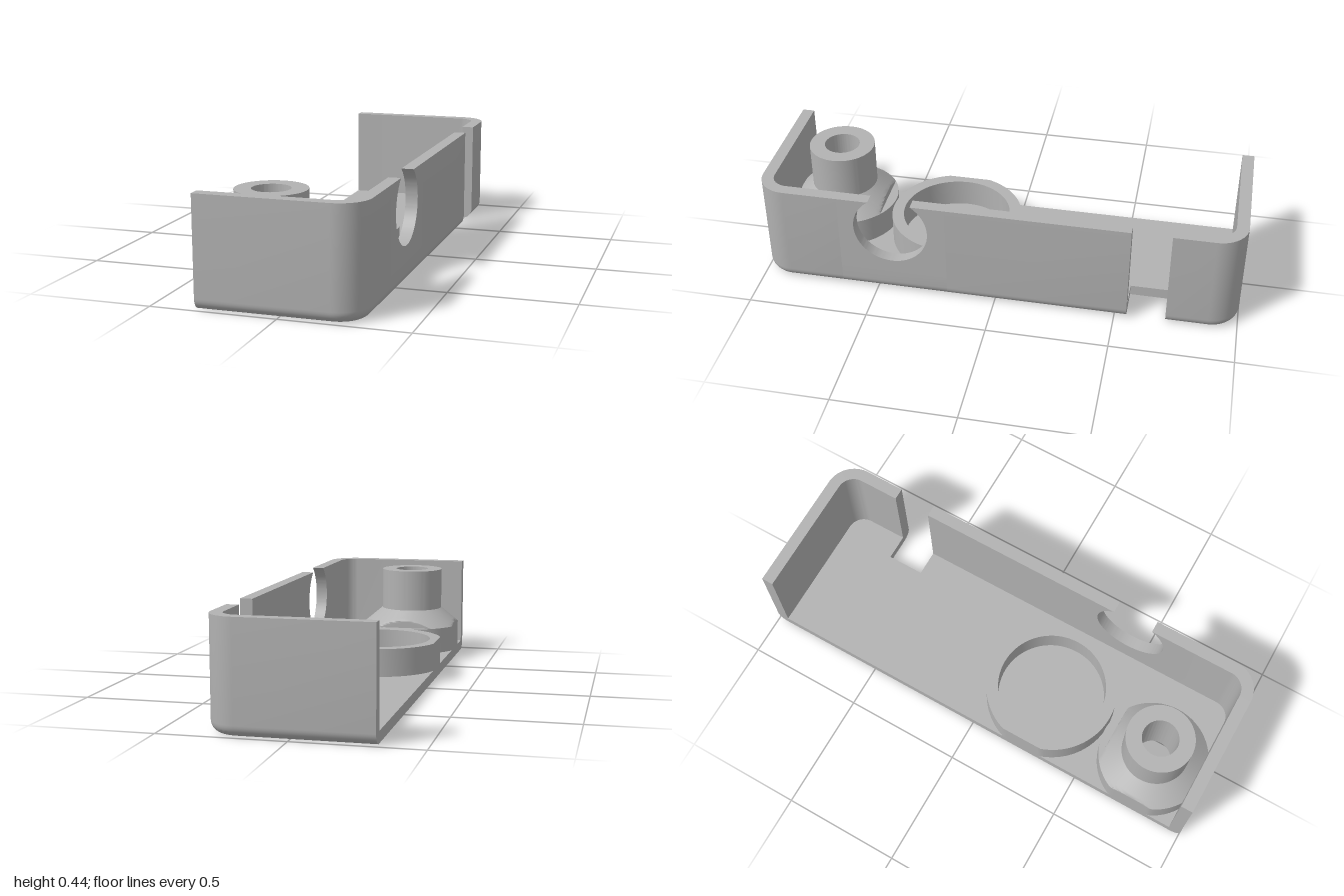
import * as THREE from 'three';
import { toCreasedNormals } from 'three/addons/utils/BufferGeometryUtils.js';

const HALF = 0.32;     // half width; the open side is at x = -HALF
const H = 0.4375;      // wall height
const T = 0.05;        // wall thickness
const FLOOR = 0.045;   // floor thickness
const R = 0.12;        // corner radius
const FILLET = 0.045;  // rounded bottom edge

const grey = new THREE.MeshStandardMaterial({ color: 0xb2b2b2 });
grey.name = 'grey plastic';

// Outline stations with outward normals: front wall, corner, then the side wall
function frontStations() {
  const list = [{ x: -HALF, z: 1, nx: 0, nz: 1 }];
  for (let i = 0; i <= 16; i++) {
    const a = (Math.PI / 2) * (1 - i / 16);
    const c = Math.cos(a), s = Math.sin(a);
    list.push({ x: HALF - R + R * c, z: 1 - R + R * s, nx: c, nz: s });
  }
  return list;
}
const side = (z) => ({ x: HALF, z, nx: 1, nz: 0 });
const backStations = () => frontStations().map((p) => ({ ...p, z: -p.z, nz: -p.nz })).reverse();

// Wall section swept along stations, with a filleted bottom edge
function wallGeometry(stations, top, capStart, capEnd) {
  const profile = [];
  for (let i = 0; i <= 8; i++) {
    const a = (Math.PI / 2) * (i / 8);
    profile.push([FILLET * (1 - Math.sin(a)), FILLET * (1 - Math.cos(a))]);
  }
  profile.push([0, top], [T, top], [T, 0]);
  const n = profile.length, pos = [], idx = [];
  for (const s of stations)
    for (const [inset, y] of profile) pos.push(s.x - s.nx * inset, y, s.z - s.nz * inset);
  for (let i = 0; i < stations.length - 1; i++)
    for (let j = 0; j < n; j++) {
      const k = (j + 1) % n;
      const a = i * n + j, b = a + n, c = (i + 1) * n + k, d = i * n + k;
      idx.push(a, b, c, a, c, d);
    }
  const e = (stations.length - 1) * n;
  for (let j = 1; j < n - 1; j++) {
    if (capStart) idx.push(0, j, j + 1);
    if (capEnd) idx.push(e, e + j + 1, e + j);
  }
  const g = new THREE.BufferGeometry();
  g.setAttribute('position', new THREE.Float32BufferAttribute(pos, 3));
  g.setIndex(idx);
  return toCreasedNormals(g, 0.6);
}

// Turned part placed at (x, z), trimmed flat at minimum x and z
function turned(points, x, z, minZ = -1) {
  const g = new THREE.LatheGeometry(points.map((p) => new THREE.Vector2(...p)), 96);
  g.translate(x, 0, z);
  const p = g.attributes.position;
  for (let i = 0; i < p.count; i++) {
    p.setX(i, Math.max(p.getX(i), -HALF));
    p.setZ(i, Math.max(p.getZ(i), minZ));
  }
  return toCreasedNormals(g, 0.5);
}

export function createModel() {
  const model = new THREE.Group();
  model.name = 'openHousing';
  const add = (name, geometry) => {
    const mesh = new THREE.Mesh(geometry, grey);
    mesh.name = name;
    model.add(mesh);
  };

  const boss = { x: -0.11, z: 0.755 };
  const slot = { front: -0.55, back: -0.71, depth: 0.16 };

  // Walls, interrupted by the slot
  add('frontWall', wallGeometry([...frontStations(), side(0.65)], H, true, false));
  add('sideWallBelowHole', wallGeometry([side(0.65), side(0.2)], 0.1, false, false));
  add('sideWall', wallGeometry([side(0.2), side(slot.front)], H, false, true));
  add('backWall', wallGeometry([side(slot.back), ...backStations()], H, true, false));
  // Flat wall ends on the open side
  for (const [name, z] of [['frontWallEnd', 1], ['backWallEnd', -1]]) {
    if (z > 0) continue; // front end is already capped
    const list = backStations();
    add(name, wallGeometry(list.slice(-2), H, false, true));
  }

  // Side wall panel with the round hole breaking through its top edge
  const hole = { z: 0.43, y: 0.31, r: 0.155 };
  const a = Math.asin((H - hole.y) / hole.r);
  const panel = new THREE.Shape();
  panel.moveTo(0.2, 0.1);
  panel.lineTo(0.65, 0.1);
  panel.lineTo(0.65, H);
  panel.lineTo(hole.z + hole.r * Math.cos(a), H);
  panel.absarc(hole.z, hole.y, hole.r, a, -Math.PI - a, true);
  panel.lineTo(0.2, H);
  const panelGeo = new THREE.ExtrudeGeometry(panel, { depth: T, bevelEnabled: false, curveSegments: 48 });
  panelGeo.rotateY(-Math.PI / 2).translate(HALF, 0, 0);
  add('sideWallHolePanel', toCreasedNormals(panelGeo, 0.5));

  // Floor with the slot and the screw recess cut out
  const inset = (p) => new THREE.Vector2(p.x - p.nx * T, p.z - p.nz * T);
  const floor = new THREE.Shape([
    ...frontStations().map(inset),
    new THREE.Vector2(HALF - T, slot.front),
    new THREE.Vector2(slot.depth, slot.front),
    new THREE.Vector2(slot.depth, slot.back),
    new THREE.Vector2(HALF - T, slot.back),
    ...backStations().map(inset),
  ]);
  floor.holes.push(new THREE.Path().absarc(boss.x, boss.z, 0.127, 0, Math.PI * 2, true));
  const floorGeo = new THREE.ExtrudeGeometry(floor, { depth: FLOOR, bevelEnabled: false, curveSegments: 48 });
  floorGeo.rotateX(Math.PI / 2).translate(0, FLOOR, 0);
  add('floor', toCreasedNormals(floorGeo, 0.5));

  // Round seat ring
  add('seatRing', turned([[0.28, FLOOR], [0.28, 0.165], [0.23, 0.165], [0.23, FLOOR]], -0.055, 0.24));

  // Screw boss: wide base, post, through bore and recess from below
  add('screwBoss', turned([
    [0.23, FLOOR], [0.23, 0.16], [0.14, 0.16], [0.14, 0.42],
    [0.075, 0.42], [0.075, 0.12], [0.127, 0.12], [0.127, 0],
  ], boss.x, boss.z));

  // Conical shoulder, trimmed flat towards the ring
  const cone = [];
  for (let i = 0; i <= 12; i++) cone.push([0.23 - 0.09 * (i / 12), 0.16 + 0.075 * (i / 12)]);
  add('bossShoulder', turned(cone, boss.x, boss.z, 0.565));

  return model;
}
